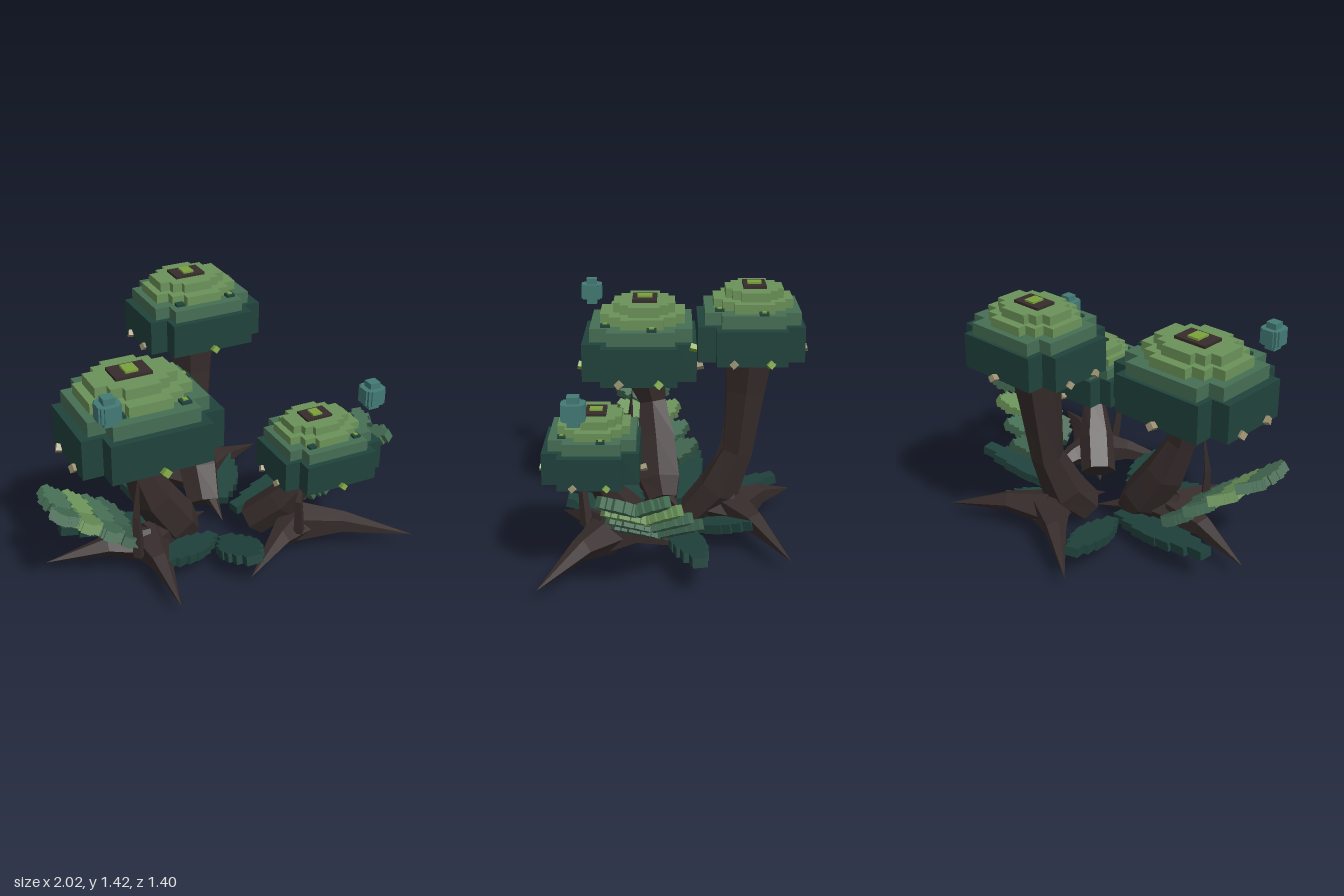
import * as THREE from 'three';

const V = (a) => new THREE.Vector3(...a);
const mat = (name, color) => Object.assign(new THREE.MeshStandardMaterial({ color, flatShading: true }), { name });

export function createModel() {
  const bark = mat('dark bark', 0x362c2b);
  const deep = mat('deep green', 0x20423c);
  const mid = mat('mid green', 0x466e55);
  const moss = mat('moss green', 0x6b9259);
  const shade = mat('shaded leaf green', 0x3b5f4b);
  const lime = mat('lime', 0x7ba23c);
  const beige = mat('beige', 0x9c9272);
  const teal = mat('teal', 0x437a75);

  const model = new THREE.Group();
  model.name = 'mushroomTrees';

  const add = (parent, name, geo, material) => {
    const m = new THREE.Mesh(geo, material);
    m.name = name;
    parent.add(m);
    return m;
  };
  const group = (name) => {
    const g = new THREE.Group();
    g.name = name;
    model.add(g);
    return g;
  };
  const box = (parent, name, size, pos, material) => {
    add(parent, name, new THREE.BoxGeometry(...size), material).position.set(...pos);
  };

  // Flat plate with a stair-stepped outline: length along x, width across y
  const plate = (len, wid, thick, profile) => {
    const pts = [], n = profile.length;
    profile.forEach((p, i) => {
      pts.push(new THREE.Vector2((len * i) / n, (-p * wid) / 2), new THREE.Vector2((len * (i + 1)) / n, (-p * wid) / 2));
    });
    const back = pts.map((p) => new THREE.Vector2(p.x, -p.y)).reverse();
    return new THREE.ExtrudeGeometry(new THREE.Shape([...pts, ...back]), { depth: thick, bevelEnabled: false });
  };

  // Faceted limb swept through points with a radius at each
  const limb = (points, radii, sides, ref) => {
    const c = points.map(V), out = [];
    const rings = c.map((p, i) => {
      const t = c[Math.min(i + 1, c.length - 1)].clone().sub(c[Math.max(i - 1, 0)]).normalize();
      const u = V(ref).cross(t).normalize(), v = t.clone().cross(u);
      return Array.from({ length: sides }, (_, j) => {
        const a = (j / sides) * Math.PI * 2;
        return p.clone().addScaledVector(u, Math.cos(a) * radii[i]).addScaledVector(v, Math.sin(a) * radii[i]);
      });
    });
    const tri = (...ps) => ps.forEach((p) => out.push(p.x, p.y, p.z));
    const last = rings.length - 1;
    for (let j = 0; j < sides; j++) {
      const k = (j + 1) % sides;
      for (let i = 0; i < last; i++) {
        tri(rings[i][j], rings[i][k], rings[i + 1][j]);
        if (radii[i + 1] > 0) tri(rings[i][k], rings[i + 1][k], rings[i + 1][j]);
      }
      tri(c[0], rings[0][k], rings[0][j]);
      if (radii[last] > 0) tri(c[last], rings[last][j], rings[last][k]);
    }
    const g = new THREE.BufferGeometry();
    g.setAttribute('position', new THREE.Float32BufferAttribute(out, 3));
    g.computeVertexNormals();
    return g;
  };

  // Stepped leaf from root to tip; side hints at its width direction
  const broad = [0.4, 0.7, 0.92, 1, 0.92, 0.72, 0.42];
  const jagged = [0.45, 0.8, 0.7, 1, 0.8, 0.9, 0.55, 0.35];
  const leaf = (parent, name, root, tip, wid, thick, profile, material, side) => {
    const a = V(root), d = V(tip).sub(a), len = d.length();
    d.normalize();
    const hint = side ? V(side) : new THREE.Vector3(0, 1, 0).cross(d);
    const n = d.clone().cross(hint).normalize(), w = n.clone().cross(d);
    const g = plate(len, wid, thick, profile).translate(0, 0, -thick / 2);
    add(parent, name, g.applyMatrix4(new THREE.Matrix4().makeBasis(d, w, n).setPosition(a)), material);
  };

  // Stepped cap: stacked layers that drift slightly as they rise
  const round = [0.66, 1, 1, 1, 1, 1, 0.66], dome = [0.5, 0.78, 1, 1, 1, 0.78, 0.5];
  const layers = [
    // name, width, depth, bottom, top, drift, profile, material
    ['capRim', 0.765, 0.64, 0, 0.215, 0, round, deep],
    ['capShoulder', 0.65, 0.575, 0.215, 0.292, -0.01, round, mid],
    ['capDome', 0.55, 0.48, 0.292, 0.348, -0.017, dome, moss],
    ['capCrown', 0.44, 0.35, 0.348, 0.404, -0.026, dome, moss],
    ['crownPatch', 0.2, 0.14, 0.404, 0.42, -0.028, [1], bark],
    ['crownBud', 0.07, 0.085, 0.42, 0.432, -0.028, [1], lime],
  ];
  const cap = (parent, [x, y, z], s) => {
    const g = new THREE.Group();
    g.name = 'cap';
    g.position.set(x, y, z);
    g.scale.setScalar(s);
    parent.add(g);
    for (const [name, w, d, y0, y1, off, profile, material] of layers) {
      const m = add(g, name, plate(w, d, y1 - y0, profile).translate(-w / 2, 0, 0), material);
      m.rotation.x = -Math.PI / 2;
      m.position.set(off, y0, off);
    }
    // Small knobs on the shoulder
    [[-0.175, 0.19], [0.175, 0.19], [0.285, -0.07]].forEach(([kx, kz], i) => {
      box(g, 'knob', [0.055, 0.06, 0.055], [kx, 0.278, kz], deep);
      if (i) box(g, 'knobDot', [0.026, 0.008, 0.026], [kx, 0.311, kz], lime);
    });
    // Gill sticks radiating under the rim, their square tips poking out past it
    for (let i = 0; i < 10; i++) {
      const a = (i / 10) * Math.PI * 2;
      const ex = Math.sin(a) * 0.427, ez = Math.cos(a) * 0.362;
      const at = (f, h) => [ex * f, h, ez * f];
      const geo = limb([at(0.35, -0.012), at(0.7, -0.006), at(1, 0.022)], [0.013, 0.018, 0.027], 4, [0, 1, 0]);
      add(g, 'gillStick', geo, i % 3 ? beige : lime);
    }
  };

  // Three trees: cap, leaning trunk, spreading roots, short taproot and a thin spike
  const trees = [
    {
      name: 'rightTree', cap: [-0.475, 0.79, 0.2], s: 1,
      trunk: [[-0.475, 0.82, 0.18], [-0.455, 0.6, 0.13], [-0.37, 0.4, 0.11], [-0.23, 0.19, 0.09], [-0.15, 0.1, 0.07]],
      radii: [0.155, 0.085, 0.12, 0.13, 0.09], hub: [-0.42, 0.145, 0.17], tap: [-0.34, 0.02, 0.17],
      tips: [[-0.965, 0.035], [-0.47, 0.69], [0.015, -0.04]],
      spike: [[-0.52, 0.15, 0.27], [-0.53, 0.4, 0.27], [-0.5, 0.67, 0.25]],
    },
    {
      name: 'backTree', cap: [0.107, 1.06, -0.385], s: 0.847,
      trunk: [[0.107, 1.08, -0.385], [0.1, 0.85, -0.37], [0.09, 0.5, -0.335], [0.07, 0.27, -0.24], [0.04, 0.11, -0.1]],
      radii: [0.145, 0.115, 0.09, 0.12, 0.1], hub: [0.1, 0.155, -0.32], tap: [0.1, 0.045, -0.26],
      tips: [[-0.36, -0.67], [0.63, -0.59], [0.065, 0.095]],
      spike: [[0.09, 0.25, -0.19], [0.08, 0.55, -0.27], [0.05, 0.87, -0.285]],
    },
    {
      name: 'leftTree', cap: [0.468, 0.53, 0.42], s: 0.754,
      trunk: [[0.45, 0.55, 0.42], [0.42, 0.43, 0.38], [0.33, 0.28, 0.3], [0.21, 0.13, 0.19]],
      radii: [0.1, 0.065, 0.1, 0.1], hub: [0.4, 0.145, 0.35], tap: [0.27, 0.005, 0.27],
      tips: [[0.95, 0.675], [-0.035, 0.63], [0.45, -0.05]],
      spike: [[0.34, 0.17, 0.47], [0.32, 0.38, 0.49], [0.36, 0.54, 0.46]],
    },
  ];
  for (const t of trees) {
    const g = group(t.name);
    cap(g, t.cap, t.s);
    add(g, 'trunk', limb(t.trunk, t.radii, 6, [0, 0, 1]), bark);
    const [hx, hy, hz] = t.hub;
    for (const [x, z] of t.tips) {
      const mx = hx + (x - hx) * 0.4, mz = hz + (z - hz) * 0.4;
      add(g, 'root', limb([t.hub, [mx, hy + 0.01, mz], [x, 0.09, z]], [0.115, 0.06, 0], 5, [0, 1, 0]), bark);
    }
    add(g, 'taproot', limb([t.hub, t.tap], [0.11, 0], 5, [0, 0, 1]), bark);
    add(g, 'spike', limb(t.spike, [0.035, 0.022, 0], 4, [0, 0, 1]), bark);
  }

  // Broad leaves lying around the base
  const ground = group('groundLeaves');
  [
    [[0, 0.085, 0.25], [0, 0.17, 0.6], 0.23],
    [[-0.05, 0.085, 0.2], [-0.44, 0.16, 0.4], 0.18],
    [[-0.15, 0.085, -0.03], [-0.83, 0.18, -0.11], 0.18],
    [[0.18, 0.085, 0.0], [0.83, 0.18, -0.12], 0.18],
    [[-0.17, 0.085, -0.1], [-0.31, 0.18, -0.57], 0.18],
    [[0.16, 0.085, -0.1], [0.34, 0.17, -0.42], 0.17],
  ].forEach(([a, b, w]) => leaf(ground, 'groundLeaf', a, b, w, 0.05, broad, deep));

  // Mirrored ferns: pairs of leaflets meeting at the stem in a shallow V
  const pairs = [
    // root y, root z, front tip z, back tip z, material
    [0.475, 0.19, 0.365, 0.04, mid],
    [0.375, 0.14, 0.35, -0.02, moss],
    [0.28, 0.125, 0.335, -0.075, mid],
    [0.2, 0.09, 0.315, -0.13, shade],
  ];
  for (const side of [1, -1]) {
    const g = group(side > 0 ? 'leftFern' : 'rightFern');
    const at = (y, z, out) => [side * (0.5 + 1.3 * (y - 0.2) + out), y, z];
    add(g, 'stem', limb([at(0.12, 0.07, 0), at(0.28, 0.125, 0.02), at(0.48, 0.19, 0.02)], [0.03, 0.022, 0.012], 5, [0, 0, 1]), shade);
    for (const [y, z, front, back, m] of pairs) {
      for (const tipZ of [front, back]) {
        leaf(g, 'leaflet', at(y, z, 0.025), at(y + 0.085, tipZ, -0.01), 0.155, 0.055, jagged, m, [side, 0.55, 0]);
      }
    }
  }

  // Floating spores made of crossed blocks
  for (const [x, y] of [[-0.745, 1.19], [0.735, 0.935]]) {
    const g = group('spore');
    g.position.set(x, y, 0.49);
    [[0.118, 0.085, 0.07], [0.07, 0.085, 0.118], [0.1, 0.085, 0.1], [0.06, 0.15, 0.06]]
      .forEach((size) => box(g, 'sporeBlock', size, [0, 0, 0], teal));
  }
  return model;
}
